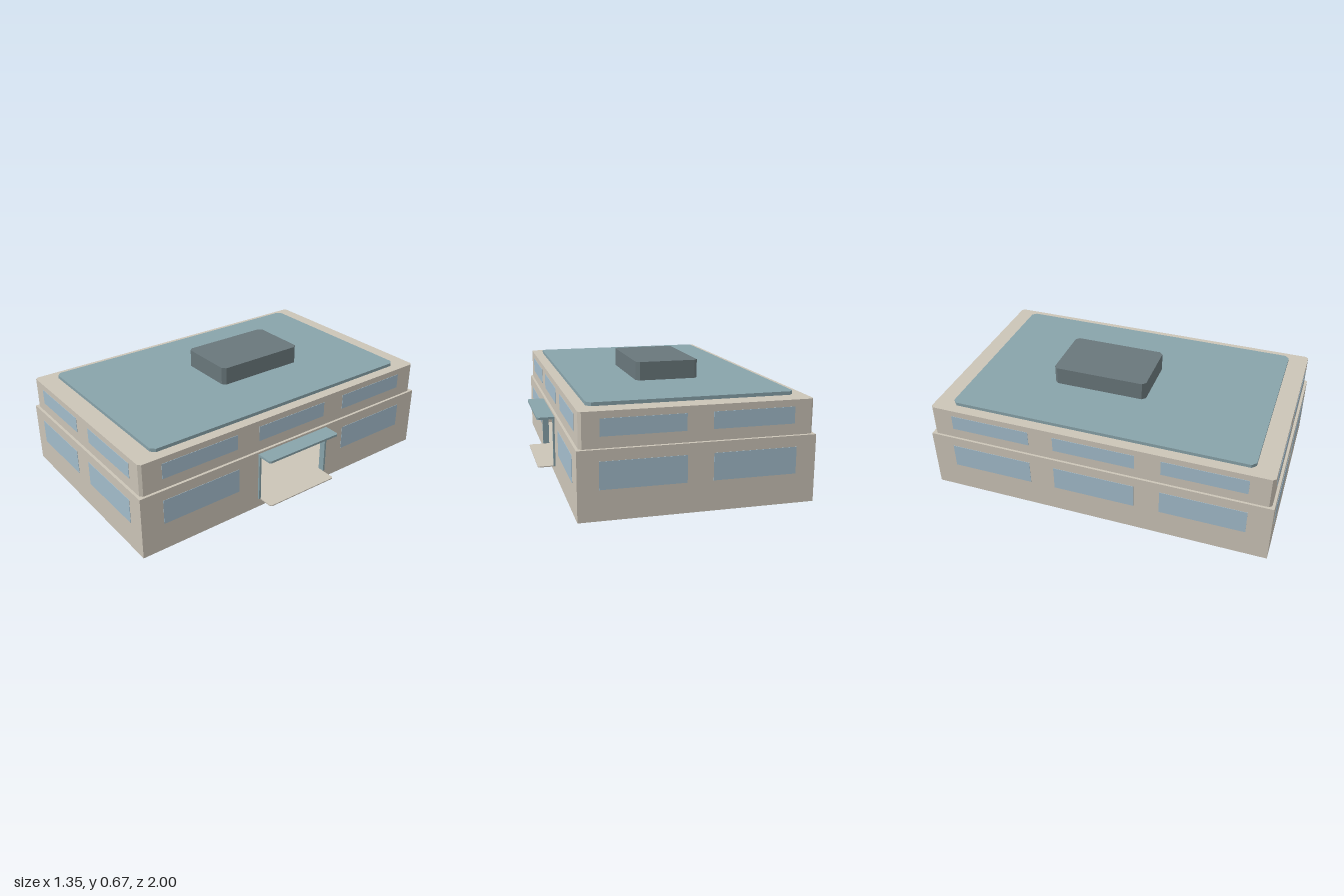
import * as THREE from 'three';

const mat = (name, color, side = THREE.FrontSide) => {
  const m = new THREE.MeshStandardMaterial({ color, side });
  m.name = name;
  return m;
};

export function createModel() {
  const group = new THREE.Group();
  const stone = mat('stone', 0xcbc4b7, THREE.DoubleSide);
  const glass = mat('window blue', 0xa3bccb);
  const teal = mat('roof teal', 0x88a3aa);
  const slate = mat('dark slate', 0x69777b);

  const add = (name, geometry, material) => {
    const mesh = new THREE.Mesh(geometry, material);
    mesh.name = name;
    group.add(mesh);
    return mesh;
  };

  const box = (name, x0, x1, y0, y1, z0, z1, material) =>
    add(name, new THREE.BoxGeometry(x1 - x0, y1 - y0, z1 - z0), material)
      .position.set((x0 + x1) / 2, (y0 + y1) / 2, (z0 + z1) / 2);

  // Horizontal slab with cut corners; cutBack = false keeps the -x corners square
  const slab = (name, x0, x1, y0, y1, z0, z1, cut, material, cutBack = true) => {
    const b = cutBack ? cut : 0;
    const pts = [[x0 + b, -z1], [x1 - cut, -z1], [x1, -z1 + cut], [x1, -z0 - cut],
      [x1 - cut, -z0], [x0 + b, -z0]];
    if (b) pts.push([x0, -z0 - b], [x0, -z1 + b]);
    // mirrored from z to shape y, so that rotating lays the shape flat
    const shape = new THREE.Shape(pts.map(([x, y]) => new THREE.Vector2(x, y)));
    const geometry = new THREE.ExtrudeGeometry(shape, { depth: y1 - y0, bevelEnabled: false });
    geometry.rotateX(-Math.PI / 2).translate(0, y0, 0);
    return add(name, geometry, material);
  };

  // Hollow ground storey with a doorway in its +x wall
  const X0 = -0.672, X1 = 0.572, H = 0.362, CX = (X0 + X1) / 2, W = X1 - X0;
  const wall = (name, w, h, x, y, z, rx, ry) => {
    const mesh = add(name, new THREE.PlaneGeometry(w, h), stone);
    mesh.position.set(x, y, z);
    mesh.rotation.set(rx, ry, 0);
  };
  wall('frontWall', W, H, CX, H / 2, 1, 0, 0);
  wall('backWall', W, H, CX, H / 2, -1, 0, Math.PI);
  wall('leftSideWall', 2, H, X0, H / 2, 0, 0, -Math.PI / 2);
  wall('groundFloor', W, 2, CX, 0, 0, Math.PI / 2, 0);
  wall('storeyLedge', W, 2, CX, H, 0, -Math.PI / 2, 0);

  const rect = (Type, x0, y0, x1, y1) => new Type([[x0, y0], [x1, y0], [x1, y1], [x0, y1]]
    .map(([x, y]) => new THREE.Vector2(x, y)));
  const doorSide = rect(THREE.Shape, -1, 0, 1, H);
  doorSide.holes.push(rect(THREE.Path, -0.245, 0.055, 0.245, 0.335));
  const doorWall = add('doorwayWall', new THREE.ShapeGeometry(doorSide), stone);
  doorWall.rotation.y = Math.PI / 2;
  doorWall.position.x = X1;

  // Upper storey, roof and rooftop plant room
  slab('upperStorey', -0.66, 0.558, H + 0.001, 0.547, -0.985, 0.985, 0.015, stone);
  slab('roofSlab', -0.6, 0.498, 0.547, 0.566, -0.875, 0.872, 0.024, teal);
  slab('plantRoom', -0.232, 0.128, 0.566, 0.67, -0.4, 0.16, 0.02, slate);

  // Entrance: canopy, step, side jambs and lintel
  slab('canopy', 0.56, 0.672, 0.337, 0.35, -0.252, 0.252, 0.01, teal, false);
  slab('doorStep', 0.545, 0.672, 0.051, 0.057, -0.238, 0.238, 0.01, stone, false);
  for (const s of [-1, 1]) {
    const z = s * 0.245;
    box('doorJamb', 0.545, 0.583, 0.057, 0.337, z - 0.006, z + 0.006, teal);
  }
  box('doorLintel', 0.545, 0.594, 0.326, 0.337, -0.239, 0.239, stone);

  // Windows as thin plates
  const T = 0.002;
  const rows = [
    { y0: 0.16, y1: 0.303, x: [[-0.565, -0.12], [0.017, 0.463]], left: X0, right: X1, z: 1, outer: 0.867 },
    { y0: 0.422, y1: 0.511, x: [[-0.555, -0.12], [0.017, 0.455]], left: -0.66, right: 0.558, z: 0.985, outer: 0.857 },
  ];
  rows.forEach((r, storey) => {
    for (const [a, b] of r.x) {
      box('frontWindow', a, b, r.y0, r.y1, r.z - T, r.z + T, glass);
      box('backWindow', a, b, r.y0, r.y1, -r.z - T, -r.z + T, glass);
    }
    for (const [a, b] of [[-r.outer, -0.384], [-0.237, 0.237], [0.384, r.outer]]) {
      box('leftSideWindow', r.left - T, r.left + T, r.y0, r.y1, a, b, glass);
      // the doorway takes the place of the middle ground window
      if (storey === 1 || a !== -0.237) {
        box('doorSideWindow', r.right - T, r.right + T, r.y0, r.y1, a, b, glass);
      }
    }
  });

  return group;
}
